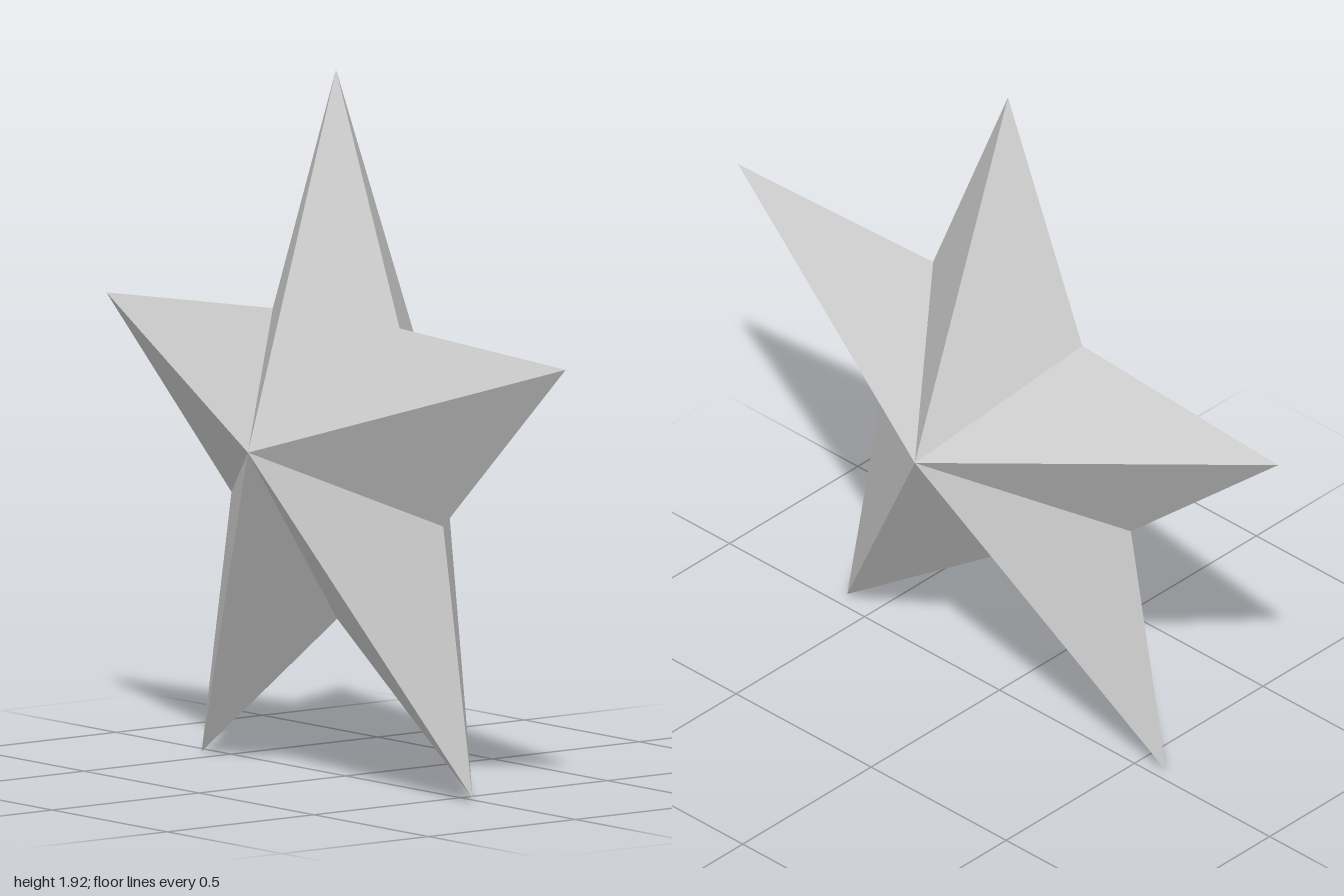
import * as THREE from 'three';

// Star outline as [z, y], alternating tips and notches, starting at the top tip
const OUTLINE = [
  [0, 1.92], [-0.275, 1.24], [-1, 1.197], [-0.455, 0.72], [-0.585, 0],
  [0.005, 0.43], [0.595, 0.012], [0.467, 0.735], [1, 1.223], [0.277, 1.25],
];
const RIM_X = -0.033;

// Fan of flat facets from the outline to a raised centre point
function starHalf(apexX) {
  const apex = [apexX, 0.908, 0];
  const positions = [];
  OUTLINE.forEach(([z, y], i) => {
    const [nz, ny] = OUTLINE[(i + 1) % OUTLINE.length];
    const a = [RIM_X, y, z], b = [RIM_X, ny, nz];
    positions.push(...apex, ...(apexX > 0 ? [...b, ...a] : [...a, ...b]));
  });
  const geometry = new THREE.BufferGeometry();
  geometry.setAttribute('position', new THREE.Float32BufferAttribute(positions, 3));
  geometry.computeVertexNormals();
  return geometry;
}

export function createModel() {
  const group = new THREE.Group();
  group.name = 'star';
  const lightGrey = new THREE.MeshStandardMaterial({ color: 0xcccccc });
  lightGrey.name = 'light grey';

  // Two faceted halves meeting at the rim
  for (const [name, apexX] of [['leftHalf', 0.33], ['rightHalf', -0.333]]) {
    const half = new THREE.Mesh(starHalf(apexX), lightGrey);
    half.name = name;
    group.add(half);
  }
  return group;
}
